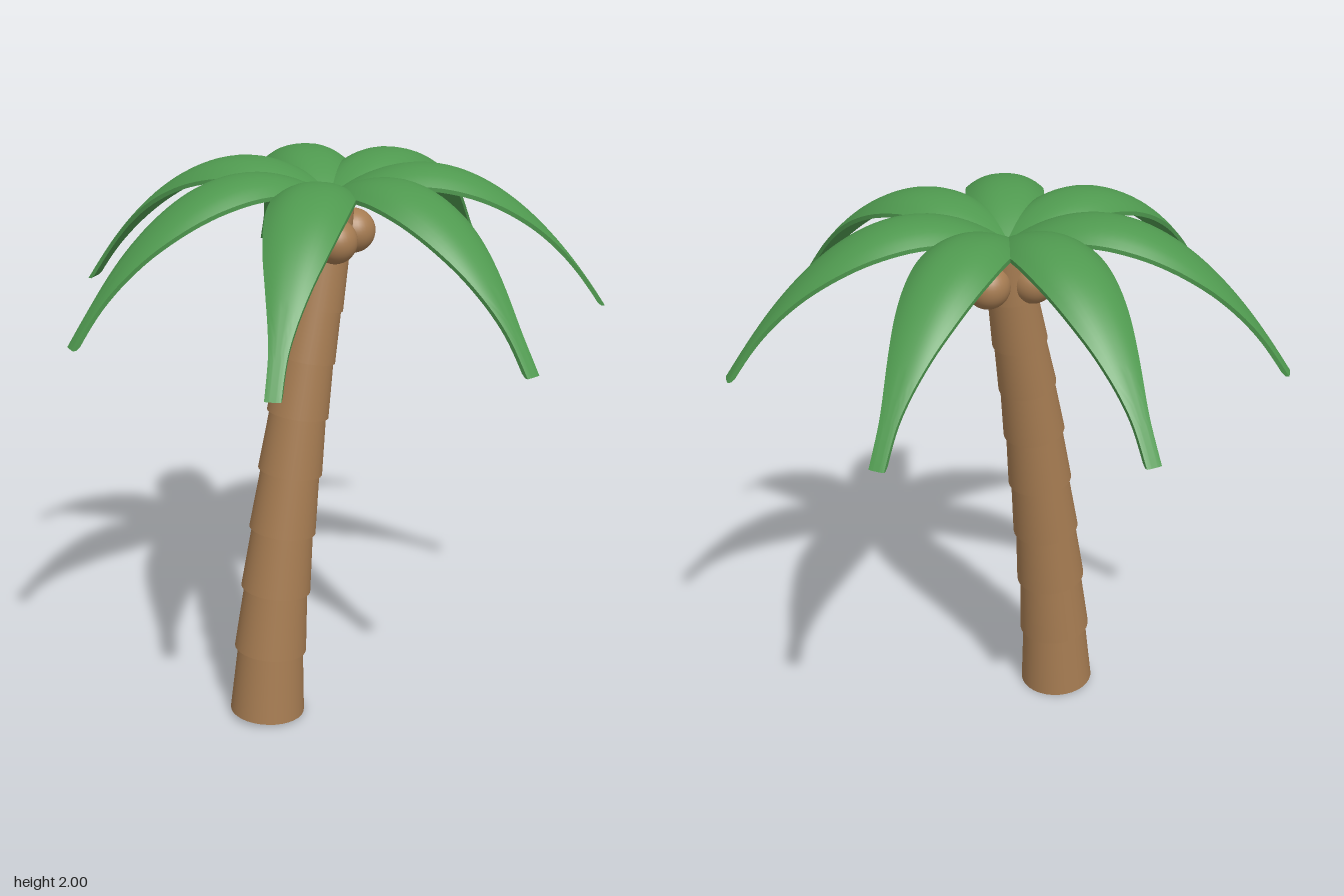
import * as THREE from 'three';
import { toCreasedNormals } from 'three/addons/utils/BufferGeometryUtils.js';

const bark = new THREE.MeshStandardMaterial({ color: 0xa67c52 });
bark.name = 'bark brown';
const leafGreen = new THREE.MeshStandardMaterial({ color: 0x4f994f });
leafGreen.name = 'leaf green';

const CROWN = new THREE.Vector3(0.01, 0, -0.027);

// Half-width of a frond at distance r from the crown, smoothly interpolated
const widthCurve = new THREE.SplineCurve([
  [0, 0.075], [0.12, 0.112], [0.25, 0.132], [0.4, 0.134], [0.52, 0.122], [0.63, 0.1],
  [0.73, 0.07], [0.82, 0.042], [0.88, 0.029], [0.953, 0.026],
].map(([r, w]) => new THREE.Vector2(r, w)));

// Drooping, arched frond running along +z: a thin closed shell swept through cross-sections
function frondGeometry() {
  const rings = 36, across = 12, loop = 2 * (across + 1), thickness = 0.014;
  const pos = [], index = [];
  for (let i = 0; i <= rings; i++) {
    const { x: r, y: w } = widthCurve.getPoint(i / rings);
    const s = (r - 0.3) / 0.653;
    const y = 2 - 0.5 * s * s;
    const slope = -s / 0.653;
    const len = Math.hypot(1, slope);
    const ny = 1 / len, nz = -slope / len;
    for (let j = 0; j < loop; j++) {
      const under = j > across;
      const u = (under ? loop - 1 - j : j) / across * 2 - 1;
      const depth = 2.7 * w * w * Math.abs(u) ** 2.4 + (under ? thickness : 0);
      pos.push(u * w, Math.max(1.5, y - ny * depth), r - nz * depth);
    }
  }
  for (let i = 0; i < rings; i++) {
    for (let j = 0; j < loop; j++) {
      const k = (j + 1) % loop;
      const a = i * loop + j, b = i * loop + k, c = b + loop, d = a + loop;
      index.push(a, d, c, a, c, b);
    }
  }
  // Close the inner end and the tip
  const tip = rings * loop;
  for (let j = 0; j < across; j++) {
    const t0 = j, t1 = j + 1, b0 = loop - 1 - j, b1 = loop - 2 - j;
    index.push(t0, b1, b0, t0, t1, b1);
    index.push(tip + t0, tip + b0, tip + b1, tip + t0, tip + b1, tip + t1);
  }
  const g = new THREE.BufferGeometry();
  g.setAttribute('position', new THREE.Float32BufferAttribute(pos, 3));
  g.setIndex(index);
  return toCreasedNormals(g, 0.8);
}

export function createModel() {
  const model = new THREE.Group();
  model.name = 'palmTree';

  // Leaning trunk of stacked, downward-flaring segments: x, y, lower radius
  const joints = [
    [-0.281, 0.009, 0.135], [-0.263, 0.257, 0.13], [-0.236, 0.49, 0.125],
    [-0.204, 0.713, 0.119], [-0.168, 0.931, 0.114], [-0.133, 1.14, 0.109],
    [-0.095, 1.335, 0.102], [-0.054, 1.515, 0.096], [-0.014, 1.697, 0.088],
    [0.016, 1.862, 0.08],
  ];
  const trunk = new THREE.Group();
  trunk.name = 'trunk';
  const up = new THREE.Vector3(0, 1, 0);
  for (let i = 0; i < joints.length - 1; i++) {
    const [x0, y0, radius] = joints[i];
    const [x1, y1, next] = joints[i + 1];
    const dir = new THREE.Vector3(x1 - x0, y1 - y0, 0);
    const height = dir.length() + (i < joints.length - 2 ? 0.012 : 0);
    const segment = new THREE.Mesh(
      new THREE.CylinderGeometry(Math.min(radius * 0.87, next), radius, height, 32), bark);
    segment.name = 'trunkSegment' + (i + 1);
    dir.normalize();
    segment.quaternion.setFromUnitVectors(up, dir);
    segment.position.set(x0, y0, CROWN.z).addScaledVector(dir, height / 2);
    trunk.add(segment);
  }
  model.add(trunk);

  // Three coconuts around the top of the trunk
  const nutGeometry = new THREE.SphereGeometry(0.077, 32, 20);
  for (let i = 0; i < 3; i++) {
    const a = i * Math.PI * 2 / 3;
    const nut = new THREE.Mesh(nutGeometry, bark);
    nut.name = 'coconut' + (i + 1);
    nut.position.set(0.012 + 0.091 * Math.cos(a), 1.76, -0.022 + 0.091 * Math.sin(a));
    model.add(nut);
  }

  // Seven evenly spaced fronds
  const frondShape = frondGeometry();
  const crown = new THREE.Group();
  crown.name = 'crown';
  crown.position.copy(CROWN);
  for (let i = 0; i < 7; i++) {
    const frond = new THREE.Mesh(frondShape, leafGreen);
    frond.name = 'frond' + (i + 1);
    frond.rotation.y = 0.078 + i * Math.PI * 2 / 7;
    crown.add(frond);
  }
  model.add(crown);

  return model;
}
